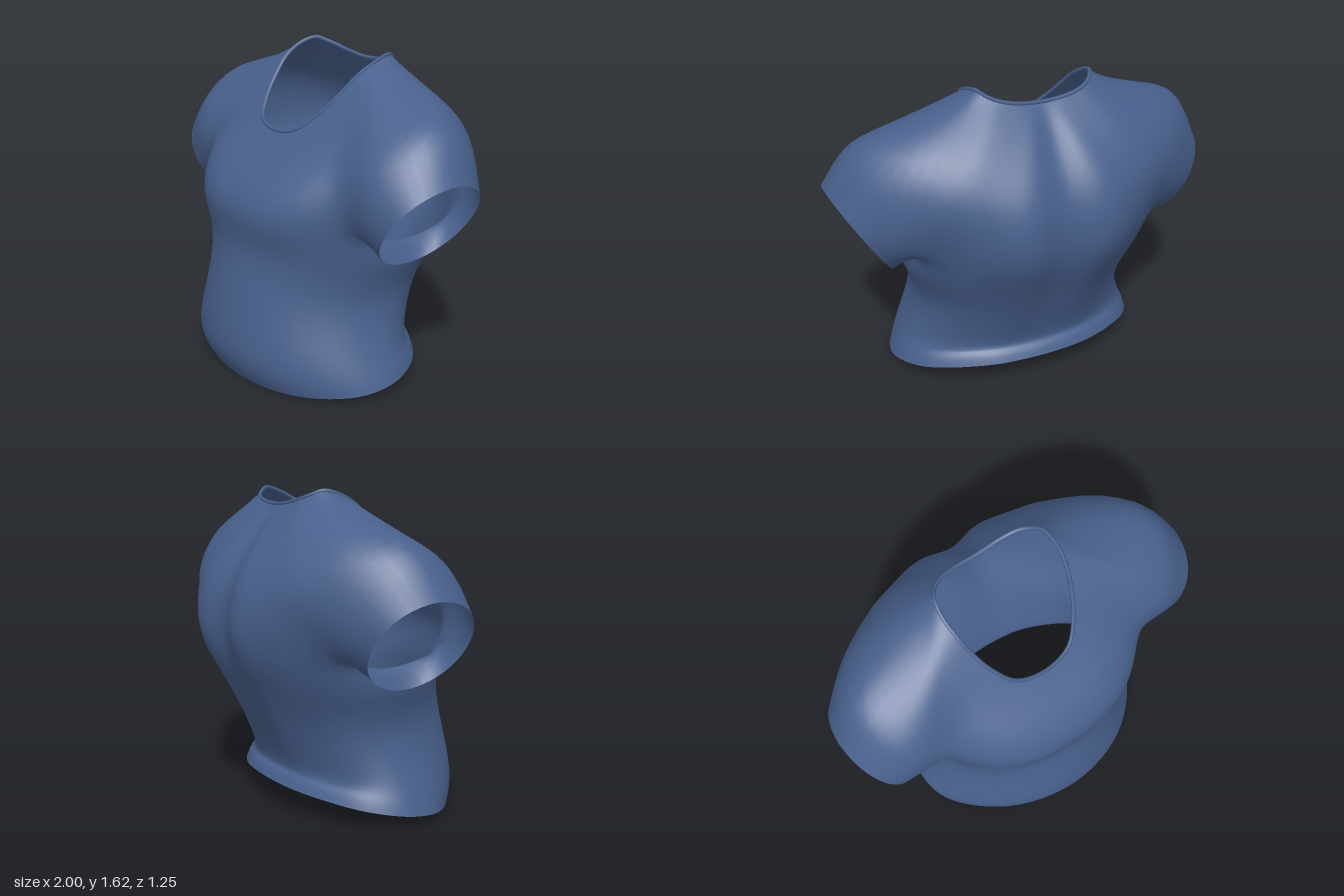
import * as THREE from 'three';

const V = (x, y, z) => new THREE.Vector3(x, y, z);
const points = list => list.map(p => V(...p));
const rad = THREE.MathUtils.degToRad;

// Half loops of the yoke, running centre front -> over the left sleeve -> centre back.
// Columns 0-3 are the chest, 3-9 the sleeve, 9-12 the back.
const neckline = points([
  [0, 1.24, .27], [.15, 1.268, .24], [.235, 1.36, .155], [.28, 1.45, .07], [.305, 1.53, -.01],
  [.317, 1.583, -.1], [.3, 1.612, -.2], [.265, 1.59, -.25], [.22, 1.572, -.28],
  [.17, 1.558, -.293], [.11, 1.548, -.3], [.055, 1.542, -.3], [0, 1.54, -.3]]);
const collarbone = points([
  [0, 1.14, .37], [.21, 1.17, .335], [.35, 1.24, .25], [.43, 1.31, .18], [.49, 1.38, .12],
  [.5, 1.46, .03], [.44, 1.53, -.15], [.45, 1.49, -.28], [.41, 1.41, -.395],
  [.34, 1.38, -.44], [.2, 1.37, -.46], [.1, 1.37, -.46], [0, 1.37, -.43]]);
const shoulder = points([
  [0, 1.0, .505], [.24, 1.02, .475], [.44, 1.06, .375], [.56, 1.1, .29], [.66, 1.21, .25],
  [.72, 1.34, .13], [.67, 1.45, -.11], [.68, 1.37, -.31], [.61, 1.24, -.43],
  [.5, 1.16, -.51], [.3, 1.15, -.58], [.15, 1.15, -.6], [0, 1.15, -.565]]);
const underarm = points([
  [0, .86, .55], [.25, .86, .525], [.46, .87, .41], [.6, .88, .26], [.755, 1.06, .285],
  [.84, 1.24, .17], [.87, 1.365, -.07], [.83, 1.23, -.28], [.74, 1.04, -.375],
  [.61, .9, -.38], [.33, .9, -.58], [.16, .9, -.625], [0, .9, -.585]]);
// Gusset under the arm, front to back
const gusset = points([[.64, .83, .14], [.655, .8, -.04], [.645, .83, -.23]]);

// Half loop of the torso: an egg with its own front, side and back heights
const torsoAngles = [0, 24, 45, 65, 80, 95, 112, 130, 153, 167, 180];
function torsoLoop(width, zMid, zFront, zBack, yFront, ySide, yBack, spine = 0) {
  return torsoAngles.map(deg => {
    const c = Math.cos(rad(deg)), s = Math.sin(rad(deg));
    const y = ySide + c * (yFront - yBack) / 2 + c * c * ((yFront + yBack) / 2 - ySide);
    const z = zMid + c * (c > 0 ? zFront - zMid : zMid - zBack) + (deg === 180 ? spine : 0);
    return V(width * s, y, z);
  });
}

// Slanted sleeve opening, in the order sleeve front -> top -> back -> underneath
const cuff = [-115, -80, -42, 0, 42, 80, 115, 148, 180, 212].map(deg => {
  const y = .925 + .225 * Math.cos(rad(deg));
  return V(.71 + (y - .7) * .645, y, -.01 - .272 * Math.sin(rad(deg)));
});

// Collects lofted strips, sharing equal corners and mirroring each quad
function buildCage() {
  const verts = [], quads = [], lookup = new Map();
  const add = (p, side) => {
    const key = [p.x * side, p.y, p.z].map(n => Math.round(n * 1000) + 0).join();
    if (!lookup.has(key)) {
      lookup.set(key, verts.length);
      verts.push(V(p.x * side, p.y, p.z));
    }
    return lookup.get(key);
  };
  const loft = (rows, closed = false) => {
    for (let r = 0; r < rows.length - 1; r++) {
      const n = rows[r].length;
      for (let c = 0; c < (closed ? n : n - 1); c++) {
        const d = (c + 1) % n;
        const q = [rows[r][c], rows[r + 1][c], rows[r + 1][d], rows[r][d]];
        quads.push(q.map(p => add(p, 1)), q.map(p => add(p, -1)).reverse());
      }
    }
  };
  // yoke
  loft([neckline, collarbone, shoulder, underarm]);
  // torso
  loft([
    [...underarm.slice(0, 4), ...gusset, ...underarm.slice(9)],
    torsoLoop(.645, -.05, .54, -.555, .7, .69, .7, .03),
    torsoLoop(.575, .0, .575, -.45, .5, .48, .5, .02),
    torsoLoop(.62, .05, .62, -.335, .25, .25, .25),
    torsoLoop(.668, .07, .61, -.35, .1, .13, .2),
    torsoLoop(.695, .08, .56, -.38, 0, .058, .145)]);
  // sleeves
  loft([[...underarm.slice(3, 10), ...gusset.slice().reverse()], cuff], true);
  return { verts, quads };
}

// One step of smooth quad subdivision; old corners keep their index
function subdivide(verts, quads) {
  const sum = list => list.reduce((a, p) => a.add(p), V(0, 0, 0));
  const mean = list => sum(list).divideScalar(list.length);
  const edges = new Map(), around = verts.map(() => ({ faces: [], edges: [] }));
  const key = (a, b) => a < b ? a + '_' + b : b + '_' + a;
  const centres = quads.map(q => mean(q.map(i => verts[i])));
  quads.forEach((q, f) => q.forEach((a, i) => {
    const b = q[(i + 1) % 4], k = key(a, b);
    around[a].faces.push(centres[f]);
    if (!edges.has(k)) {
      const e = { mid: mean([verts[a], verts[b]]), faces: [] };
      edges.set(k, e);
      around[a].edges.push(e);
      around[b].edges.push(e);
    }
    edges.get(k).faces.push(centres[f]);
  }));
  const out = verts.map((p, i) => {
    const rim = around[i].edges.filter(e => e.faces.length === 1);
    if (rim.length) return mean([p, mean(rim.map(e => e.mid))]);
    const n = around[i].edges.length;
    return mean(around[i].faces).addScaledVector(mean(around[i].edges.map(e => e.mid)), 2)
      .addScaledVector(p, n - 3).divideScalar(n);
  });
  for (const e of edges.values()) {
    e.index = out.length;
    out.push(e.faces.length === 1 ? e.mid.clone() : mean([e.mid, mean(e.faces)]));
  }
  const next = [];
  quads.forEach((q, f) => {
    const centre = out.push(centres[f]) - 1;
    q.forEach((a, i) => next.push([a, edges.get(key(a, q[(i + 1) % 4])).index, centre,
      edges.get(key(q[(i + 3) % 4], a)).index]));
  });
  return { verts: out, quads: next };
}

// Smooths the cage, then nudges it so the surface still passes through its corners
function smoothSurface({ verts, quads }) {
  const cage = verts.map(p => p.clone());
  let fine;
  for (let pass = 0; pass < 5; pass++) {
    fine = subdivide(cage, quads);
    fine = subdivide(fine.verts, fine.quads);
    if (pass < 4) cage.forEach((p, i) => p.addScaledVector(verts[i].clone().sub(fine.verts[i]), .8));
  }
  const geometry = new THREE.BufferGeometry().setFromPoints(fine.verts);
  geometry.setIndex(fine.quads.flatMap(([a, b, c, d]) => [a, b, c, a, c, d]));
  geometry.computeVertexNormals();
  return geometry;
}

export function createModel() {
  const group = new THREE.Group();
  group.name = 'shirt';
  const fabric = new THREE.MeshStandardMaterial({ color: 0x48608c, side: THREE.DoubleSide });
  fabric.name = 'blue fabric';

  // torso, yoke and sleeves in one open cloth surface
  const cloth = new THREE.Mesh(smoothSurface(buildCage()), fabric);
  cloth.name = 'shirtCloth';
  group.add(cloth);

  // thin rolled edge of the neck opening
  const mirrored = neckline.slice(1, -1).reverse().map(p => V(-p.x, p.y, p.z));
  const neckPath = new THREE.CatmullRomCurve3([...neckline, ...mirrored], true);
  const neckEdge = new THREE.Mesh(new THREE.TubeGeometry(neckPath, 72, .01, 6, true), fabric);
  neckEdge.name = 'neckEdge';
  group.add(neckEdge);
  return group;
}
